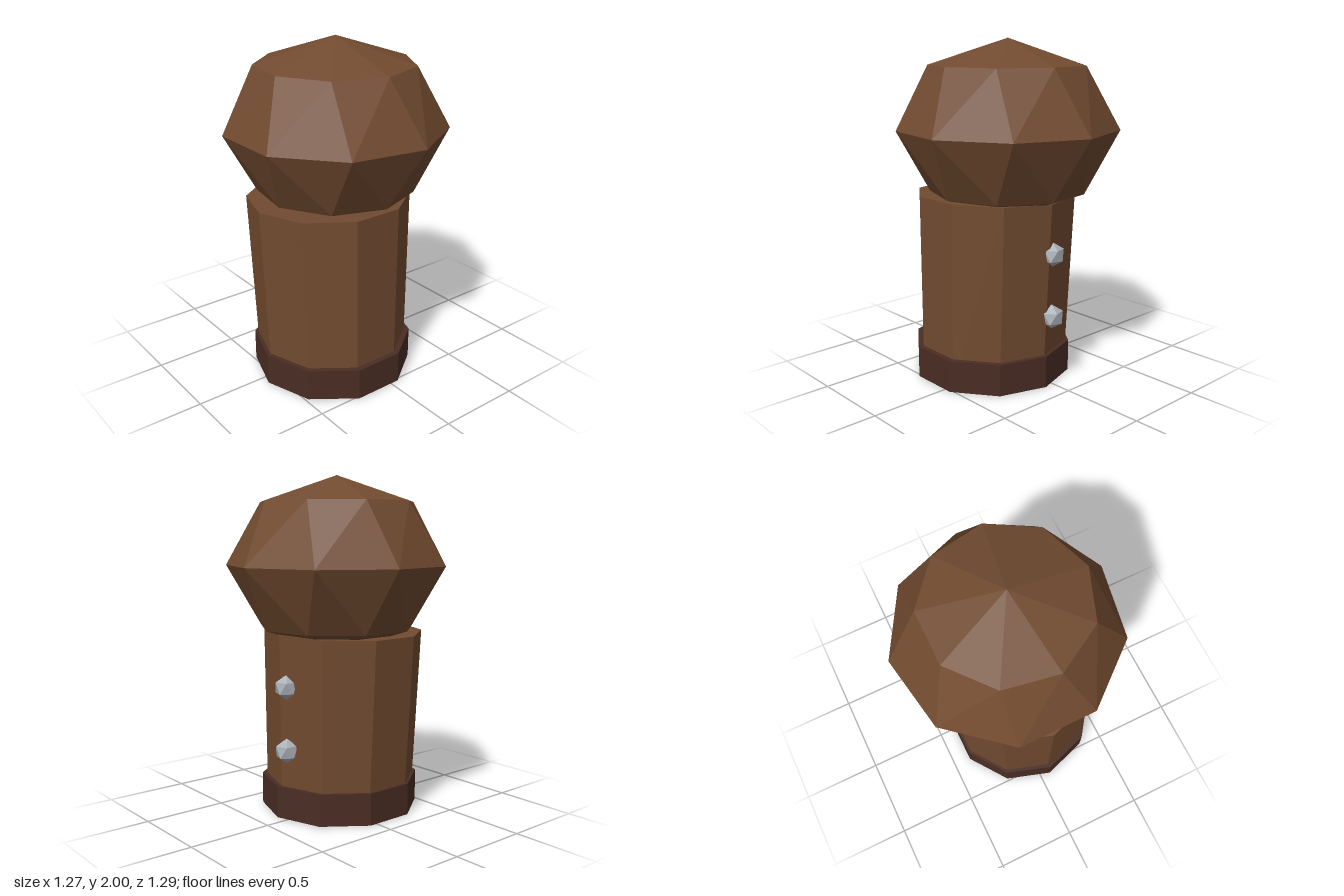
import * as THREE from 'three';
import { ConvexGeometry } from 'three/addons/geometries/ConvexGeometry.js';

// Points of a horizontal ring; phase is in degrees, measured from +x towards +z
function ring(count, radius, y, phase) {
  return Array.from({ length: count }, (_, i) => {
    const a = THREE.MathUtils.degToRad(phase) + (i / count) * Math.PI * 2;
    return new THREE.Vector3(radius * Math.cos(a), y, radius * Math.sin(a));
  });
}

const pole = (y) => new THREE.Vector3(0, y, 0);

export function createModel() {
  const group = new THREE.Group();
  const material = (name, color) => {
    const m = new THREE.MeshStandardMaterial({ color, flatShading: true });
    m.name = name;
    return m;
  };
  const wood = material('brown wood', 0x724b30);
  const darkWood = material('dark band', 0x4a2d24);
  const metal = material('grey metal', 0xaab0b8);

  function add(name, geometry, mat, x, y, z) {
    const mesh = new THREE.Mesh(geometry, mat);
    mesh.name = name;
    mesh.position.set(x, y, z);
    group.add(mesh);
    return mesh;
  }

  // Ten-sided collar at the foot, with corners on the x axis
  const collar = new THREE.CylinderGeometry(0.478, 0.478, 0.19, 10).rotateY(Math.PI / 2);
  add('collar', collar, darkWood, -0.0975, 0.095, 0.065);

  // Shaft, flaring upwards and leaning slightly back
  const shaft = new THREE.CylinderGeometry(0.478, 0.448, 1.08, 10).rotateY(Math.PI / 2);
  add('shaft', shaft, wood, -0.0975, 0.55, 0.046).rotation.x = -0.03;

  // Faceted knob: nine-sided rings, the outer one turned against the others
  const knob = new ConvexGeometry([
    pole(0.52), ...ring(9, 0.463, 0.368, 10),
    ...ring(9, 0.655, 0, 0),
    ...ring(9, 0.463, -0.368, 10), pole(-0.52),
  ]);
  add('knob', knob, wood, -0.02, 1.48, 0);

  // Two twenty-sided studs on the left side
  const r = 0.073;
  const stud = new ConvexGeometry([
    pole(r), ...ring(5, r * 0.894, r * 0.447, 90),
    ...ring(5, r * 0.894, -r * 0.447, -90), pole(-r),
  ]);
  [0.415, 0.79].forEach((y, i) => add(i ? 'upperStud' : 'lowerStud', stud, metal, 0.357, y, 0));

  return group;
}
